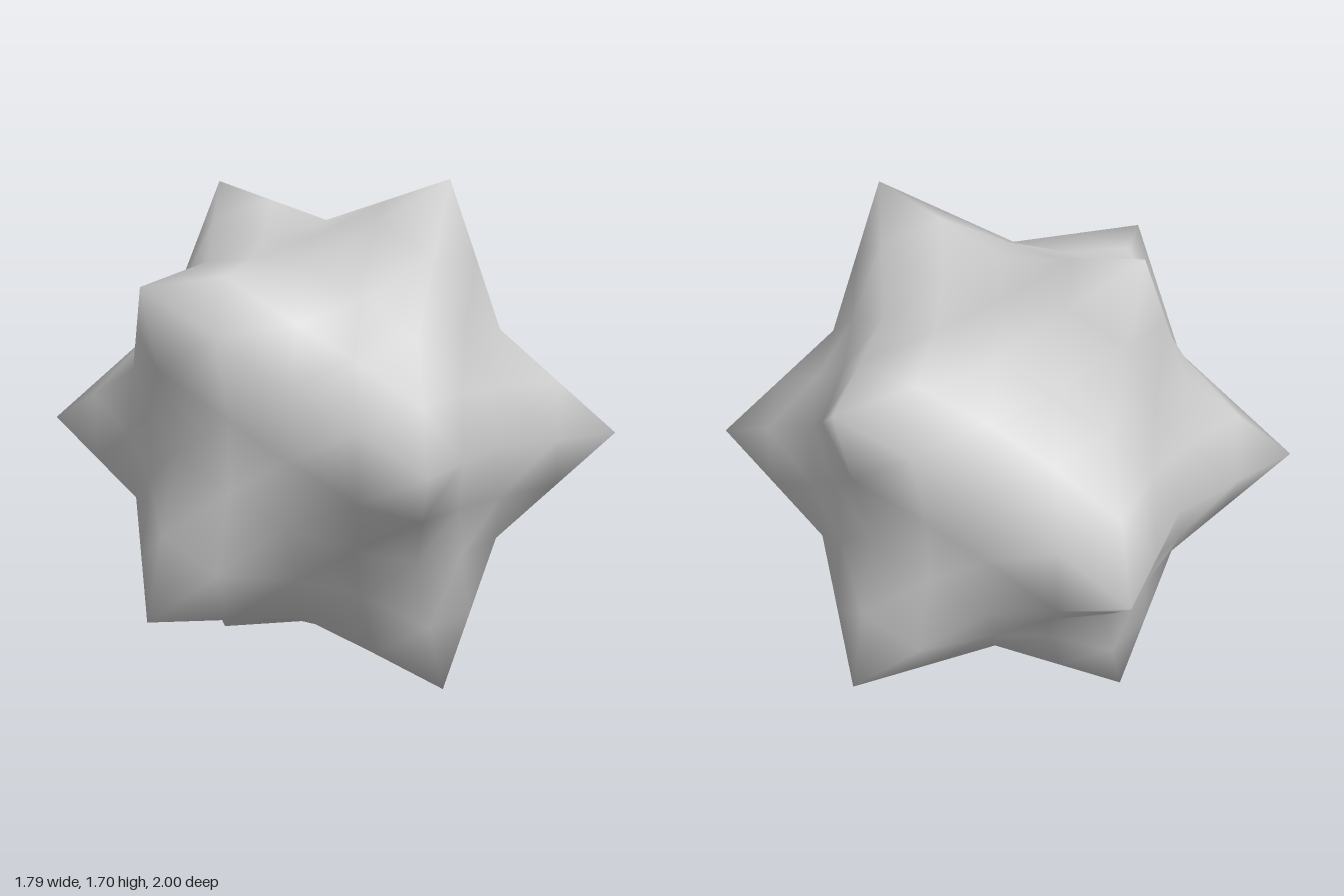
import * as THREE from 'three';
import { mergeVertices } from 'three/addons/utils/BufferGeometryUtils.js';

const TIP = 1, VALLEY = 0.715, DIMPLE = 0.7;

// Icosahedron corners: a pole on +z and -z, with a ring of five near each
function icosahedronFaces() {
  const h = 1 / Math.sqrt(5);
  const ring = (k, z, turn) => {
    const a = (k + turn) * Math.PI * 2 / 5;
    return new THREE.Vector3(2 * h * Math.cos(a), 2 * h * Math.sin(a), z);
  };
  const front = new THREE.Vector3(0, 0, TIP), back = new THREE.Vector3(0, 0, -TIP);
  const faces = [];
  for (let k = 0; k < 5; k++) {
    const a = ring(k, h, 0), a2 = ring(k + 1, h, 0);
    const b = ring(k, -h, 0.5), b2 = ring(k + 1, -h, 0.5);
    faces.push([front, a, a2], [a, b, a2], [b, b2, a2], [back, b2, b]);
  }
  return faces;
}

// Split each triangle in four, placing the new points by the given rule
function subdivide(faces, middle) {
  return faces.flatMap(([a, b, c]) => {
    const ab = middle(a, b), bc = middle(b, c), ca = middle(c, a);
    return [[a, ab, ca], [ab, b, bc], [ca, bc, c], [ab, bc, ca]];
  });
}

export function createModel() {
  const mid = (a, b) => a.clone().add(b).multiplyScalar(0.5);
  const isTip = (p) => p.length() > 0.95;

  // Valleys lie halfway between tips; ridges stay straight, hollows bulge slightly
  let faces = subdivide(icosahedronFaces(), (a, b) => mid(a, b).setLength(VALLEY));
  faces = subdivide(faces, (a, b) =>
    isTip(a) || isTip(b) ? mid(a, b) : mid(a, b).setLength(DIMPLE));

  let geometry = new THREE.BufferGeometry().setFromPoints(faces.flat());
  geometry = mergeVertices(geometry, 1e-4);
  geometry.computeVertexNormals();

  const star = new THREE.Mesh(geometry, new THREE.MeshStandardMaterial({ color: 0xcccccc }));
  star.name = 'spikedStar';
  star.position.y = 0.8507;

  const group = new THREE.Group();
  group.name = 'twelvePointedStar';
  group.add(star);
  return group;
}
